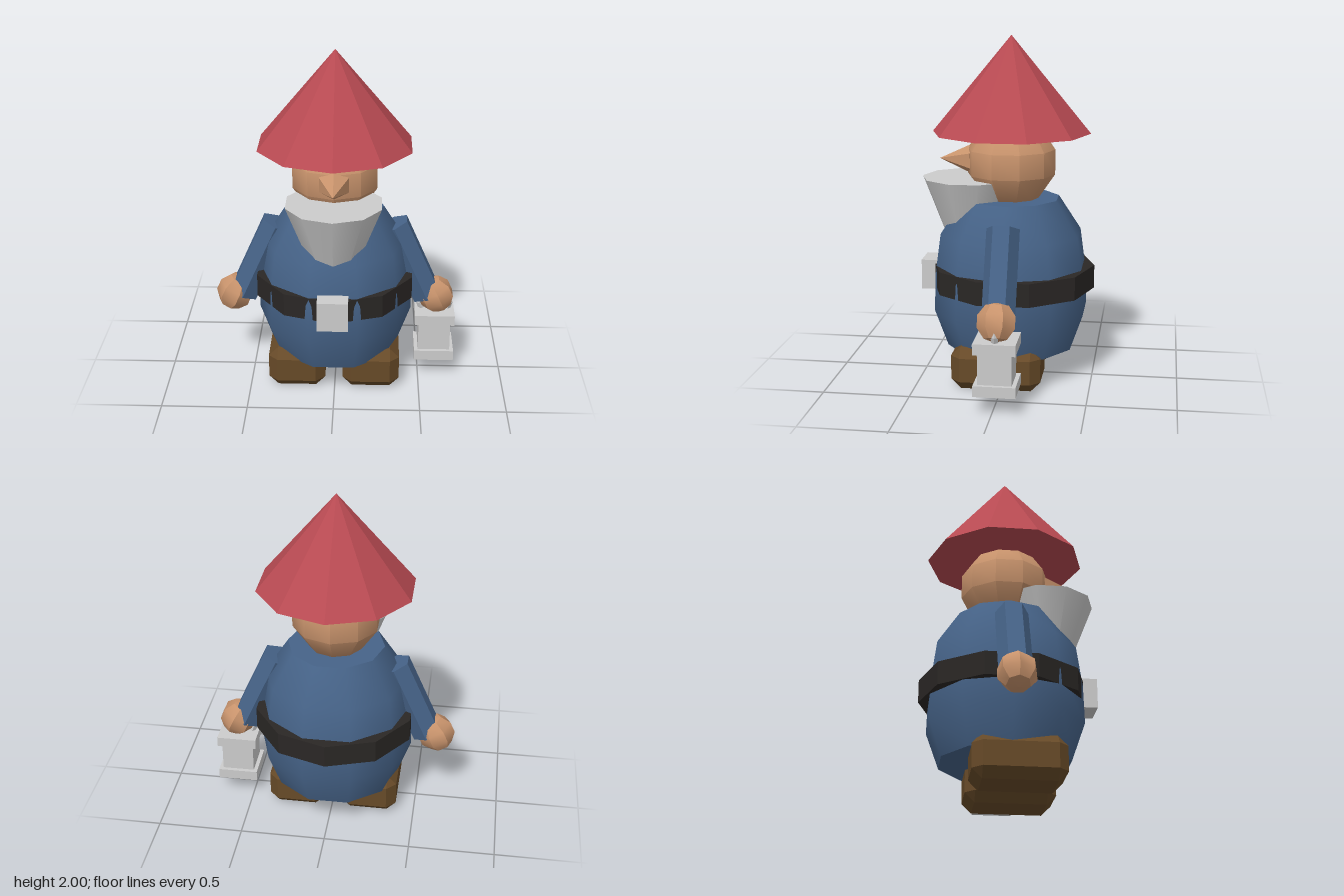
import * as THREE from 'three';
import { toCreasedNormals } from 'three/addons/utils/BufferGeometryUtils.js';
import { ConvexGeometry } from 'three/addons/geometries/ConvexGeometry.js';

const CX = -0.005, CZ = -0.015; // axis of the figure

const paint = (color, flatShading = false) => new THREE.MeshStandardMaterial({ color, flatShading });
const red = paint(0xb84a52, true);
const skin = paint(0xc8936c);
const skinFlat = paint(0xc8936c, true);
const blue = paint(0x466388);
const blueFlat = paint(0x466388, true);
const black = paint(0x2a2725, true);
const brown = paint(0x674a28, true);
const grey = paint(0xcccccc);
const greyFlat = paint(0xcccccc, true);

// Ten-sided turned form with smooth sides and sharp rims
function turned(profile) {
  const points = profile.map(([r, y]) => new THREE.Vector2(r, y));
  return toCreasedNormals(new THREE.LatheGeometry(points, 10), 0.8);
}

// Box with every edge cut off at 45 degrees
function chamferedBox(w, h, d, c) {
  const points = [];
  for (const sx of [-1, 1]) for (const sy of [-1, 1]) for (const sz of [-1, 1]) {
    for (const axis of [0, 1, 2]) {
      const cut = [c, c, c];
      cut[axis] = 0;
      points.push(new THREE.Vector3(sx * (w / 2 - cut[0]), sy * (h / 2 - cut[1]), sz * (d / 2 - cut[2])));
    }
  }
  return new ConvexGeometry(points);
}

export function createModel() {
  const model = new THREE.Group();
  model.name = 'gnome';

  function add(name, geometry, material, x, y, z, parent = model) {
    const mesh = new THREE.Mesh(geometry, material);
    mesh.name = name;
    mesh.position.set(x, y, z);
    parent.add(mesh);
    return mesh;
  }

  // Round coat, turned so that corners lie at the sides
  const coat = turned([[0, 0.185], [0.378, 0.185], [0.456, 0.4], [0.45, 0.62],
    [0.417, 0.86], [0.284, 1.065], [0, 1.065]]);
  add('body', coat, blue, CX, 0, CZ).rotation.y = Math.PI / 2;

  // Belt and buckle
  add('belt', new THREE.CylinderGeometry(0.478, 0.478, 0.135, 10), black, CX, 0.603, -0.026);
  add('buckle', new THREE.BoxGeometry(0.175, 0.175, 0.117), greyFlat, CX, 0.603, 0.447);

  // Head, nose, beard and hat
  const skull = turned([[0, -0.265], [0.16, -0.212], [0.255, -0.072],
    [0.255, 0.072], [0.16, 0.212], [0, 0.265]]);
  add('head', skull, skin, CX, 1.277, CZ);
  const nose = new THREE.ConeGeometry(0.088, 0.19, 6).rotateX(Math.PI / 2).scale(1.1, 1, 1);
  add('nose', nose, skinFlat, CX, 1.285, 0.31);
  const beard = turned([[0, -0.72], [0.283, 0], [0, 0]]);
  add('beard', beard, grey, CX, 1.18, 0.224);
  add('hat', new THREE.ConeGeometry(0.459, 0.555, 10), red, CX, 1.7225, CZ);

  // Arms, hands and boots on both sides
  const armShape = new THREE.CylinderGeometry(0.094, 0.094, 0.505, 6);
  const handShape = toCreasedNormals(new THREE.SphereGeometry(0.113, 7, 5), 0.6);
  const bootShape = chamferedBox(0.335, 0.25, 0.515, 0.055);
  for (const [side, s] of [['left', 1], ['right', -1]]) {
    const arm = add(side + 'Arm', armShape, blueFlat, CX + s * 0.448, 0.723, CZ);
    arm.rotation.z = s * THREE.MathUtils.degToRad(24);
    const hand = add(side + 'Hand', handShape, skin, CX + s * 0.602, 0.493, CZ);
    hand.rotation.z = s * 0.42;
    add(side + 'Boot', bootShape, brown, CX + s * 0.219, 0.125, 0.032);
  }

  // Lantern hanging from the left hand
  const lantern = new THREE.Group();
  lantern.name = 'lantern';
  lantern.position.set(0.593, 0, CZ);
  model.add(lantern);
  add('lanternBase', new THREE.BoxGeometry(0.236, 0.062, 0.236), greyFlat, 0, 0.133, 0, lantern);
  add('lanternBody', new THREE.BoxGeometry(0.19, 0.19, 0.19), greyFlat, 0, 0.252, 0, lantern);
  add('lanternTop', new THREE.BoxGeometry(0.236, 0.062, 0.236), greyFlat, 0, 0.371, 0, lantern);
  add('lanternHandle', new THREE.TorusGeometry(0.09, 0.02, 4, 10), greyFlat, 0, 0.435, 0, lantern);

  return model;
}
